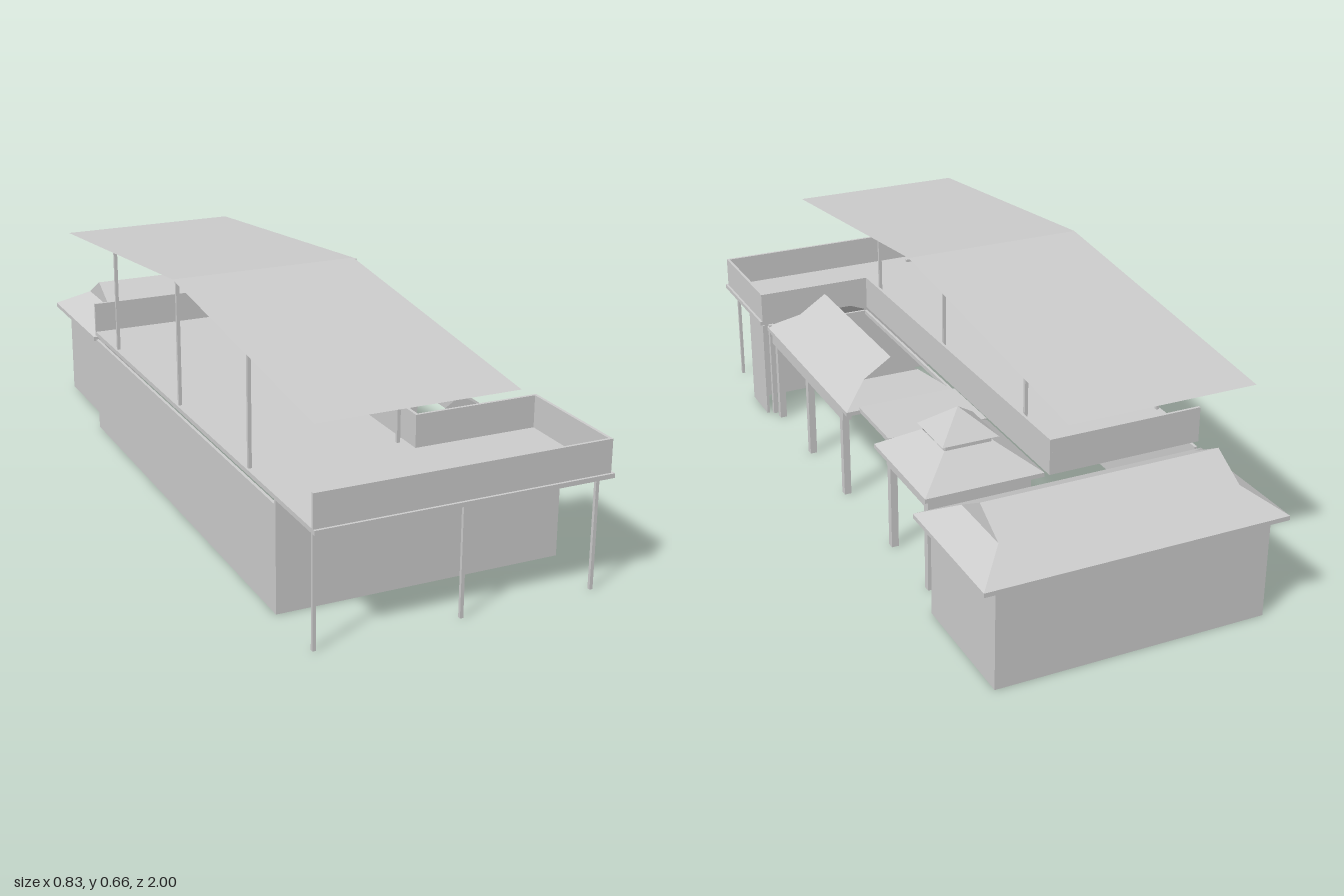
import * as THREE from 'three';

const mat = new THREE.MeshStandardMaterial({ color: 0xcccccc, flatShading: true, side: THREE.DoubleSide });

// Box given by its limits on each axis
function box(parent, name, x0, x1, y0, y1, z0, z1) {
  const m = new THREE.Mesh(new THREE.BoxGeometry(x1 - x0, y1 - y0, z1 - z0), mat);
  m.position.set((x0 + x1) / 2, (y0 + y1) / 2, (z0 + z1) / 2);
  m.name = name;
  parent.add(m);
}

// Square post centred on x, z
function post(parent, name, x, z, y0, y1, w) {
  box(parent, name, x - w / 2, x + w / 2, y0, y1, z - w / 2, z + w / 2);
}

// Thin sheets, each a convex loop of corners
function sheets(parent, name, loops) {
  const pos = [];
  for (const p of loops)
    for (let i = 1; i < p.length - 1; i++) pos.push(...p[0], ...p[i], ...p[i + 1]);
  const g = new THREE.BufferGeometry();
  g.setAttribute('position', new THREE.Float32BufferAttribute(pos, 3));
  g.computeVertexNormals();
  const m = new THREE.Mesh(g, mat);
  m.name = name;
  parent.add(m);
}

// Four thin bars around a rectangle
function frame(parent, name, x0, x1, y0, y1, z0, z1, t) {
  box(parent, name, x0, x1, y0, y1, z0, z0 + t);
  box(parent, name, x0, x1, y0, y1, z1 - t, z1);
  box(parent, name, x0, x0 + t, y0, y1, z0, z1);
  box(parent, name, x1 - t, x1, y0, y1, z0, z1);
}

// Hipped roof with small upright gables, ridge along local x
function gabletRoof(name, L, D, g, h, sides) {
  const group = new THREE.Group();
  group.name = name;
  const loops = [];
  for (const s of sides) {
    const eave = [[-L, 0, s * D], [L, 0, s * D], [g, h / 2, s * D / 2], [-g, h / 2, s * D / 2]];
    const top = [[-g, h / 2, s * D / 2], [g, h / 2, s * D / 2], [g, h, 0], [-g, h, 0]];
    loops.push(...[eave, top].map(p => (s > 0 ? p : p.reverse())));
  }
  for (const s of [1, -1]) {
    const hip = [[s * L, 0, D], [s * L, 0, -D], [s * g, h / 2, -D / 2], [s * g, h / 2, D / 2]];
    const gable = [[s * g, h / 2, D / 2], [s * g, h / 2, -D / 2], [s * g, h, 0]];
    loops.push(...[hip, gable].map(p => (s > 0 ? p : p.reverse())));
  }
  sheets(group, 'roofSlopes', loops);
  frame(group, 'eave', -L, L, -0.012, 0, -D, D, 0.008);
  return group;
}

// Square pyramid, or frustum when the top has a width
function pyramid(parent, name, rTop, rBottom, y0, y1, x, z) {
  const g = new THREE.CylinderGeometry(rTop * Math.SQRT2, rBottom * Math.SQRT2, y1 - y0, 4, 1, true);
  g.rotateY(Math.PI / 4);
  const m = new THREE.Mesh(g, mat);
  m.position.set(x, (y0 + y1) / 2, z);
  m.name = name;
  parent.add(m);
}

export function createModel() {
  const model = new THREE.Group();
  const part = (name) => {
    const g = new THREE.Group();
    g.name = name;
    model.add(g);
    return g;
  };

  // Ground floor walls
  const walls = part('mainWalls');
  box(walls, 'leftWall', -0.413, -0.405, 0, 0.285, -0.585, 0.78);
  box(walls, 'frontWall', -0.413, 0.375, 0, 0.298, 0.772, 0.78);
  box(walls, 'rightReturnWall', 0.367, 0.375, 0, 0.298, 0.65, 0.78);

  // Terrace floor and its parapet
  const terrace = part('terrace');
  box(terrace, 'floor', -0.415, 0.03, 0.3, 0.312, -0.585, 1);
  box(terrace, 'frontFloor', 0.03, 0.382, 0.3, 0.312, 0.65, 1);
  box(terrace, 'frontParapet', -0.415, 0.375, 0.312, 0.4, 0.985, 0.993);
  box(terrace, 'sideParapet', 0.367, 0.375, 0.312, 0.4, 0.65, 0.993);
  box(terrace, 'returnParapet', 0.022, 0.375, 0.312, 0.4, 0.65, 0.658);
  box(terrace, 'longParapet', 0.022, 0.03, 0.312, 0.4, -0.585, 0.658);
  box(terrace, 'backParapet', -0.415, 0.03, 0.312, 0.4, -0.585, -0.577);
  for (const x of [-0.405, -0.018, 0.348]) post(terrace, 'frontPost', x, 0.975, 0, 0.3, 0.009);

  // Large upper roof on slim posts
  const upper = part('upperRoof');
  sheets(upper, 'roofSheets', [
    [[-0.415, 0.565, 0.995], [0.11, 0.565, 0.995], [0.11, 0.66, 0.12], [-0.415, 0.66, 0.12]],
    [[-0.415, 0.66, 0.12], [0.11, 0.66, 0.12], [0.11, 0.565, -0.82], [-0.415, 0.565, -0.82]],
  ]);
  box(upper, 'ridgeBeam', -0.405, 0.118, 0.65, 0.657, 0.116, 0.124);
  for (const x of [-0.405, 0])
    for (const [z, y] of [[0.605, 0.606], [0.125, 0.655], [-0.39, 0.607]])
      post(upper, 'roofPost', x, z, 0.312, y, 0.009);

  // Back building, open towards the court
  const back = part('backBuilding');
  box(back, 'backWall', -0.375, 0.375, 0, 0.285, -0.978, -0.968);
  for (const s of [1, -1]) box(back, 'endWall', s * 0.37 - 0.005, s * 0.37 + 0.005, 0, 0.285, -0.978, -0.618);
  post(back, 'courtPost', 0.1, -0.64, 0, 0.285, 0.02);
  const backRoof = gabletRoof('backRoof', 0.415, 0.2, 0.33, 0.112, [1, -1]);
  backRoof.position.set(0, 0.288, -0.8);
  back.add(backRoof);

  // Long side canopy, open towards the terrace
  const canopy = part('sideCanopy');
  const canopyRoof = gabletRoof('canopyRoof', 0.335, 0.165, 0.26, 0.108, [1]);
  canopyRoof.rotation.y = Math.PI / 2;
  canopyRoof.position.set(0.195, 0.292, 0.318);
  canopy.add(canopyRoof);
  box(canopy, 'beam', 0.325, 0.35, 0.24, 0.285, 0.04, 0.64);
  for (const z of [0.06, 0.34, 0.61]) post(canopy, 'canopyPost', 0.338, z, 0, 0.24, 0.02);
  post(canopy, 'cornerPost', 0.35, 0.645, 0, 0.3, 0.014);

  // Flat link between the two canopies
  box(part('linkCanopy'), 'linkSlab', 0.03, 0.32, 0.285, 0.298, -0.22, -0.01);

  // Square pavilion with a raised cap
  const pav = part('pavilion');
  const px = 0.195, pz = -0.388;
  pyramid(pav, 'lowerRoof', 0.07, 0.167, 0.292, 0.36, px, pz);
  pyramid(pav, 'neck', 0.065, 0.065, 0.355, 0.378, px, pz);
  pyramid(pav, 'cap', 0, 0.08, 0.375, 0.442, px, pz);
  frame(pav, 'eave', px - 0.167, px + 0.167, 0.28, 0.292, pz - 0.167, pz + 0.167, 0.008);
  frame(pav, 'beam', px - 0.145, px + 0.145, 0.24, 0.282, pz - 0.135, pz + 0.135, 0.02);
  for (const sx of [-1, 1])
    for (const sz of [-1, 1]) post(pav, 'pavilionPost', px + sx * 0.135, pz + sz * 0.12, 0, 0.24, 0.02);

  return model;
}
